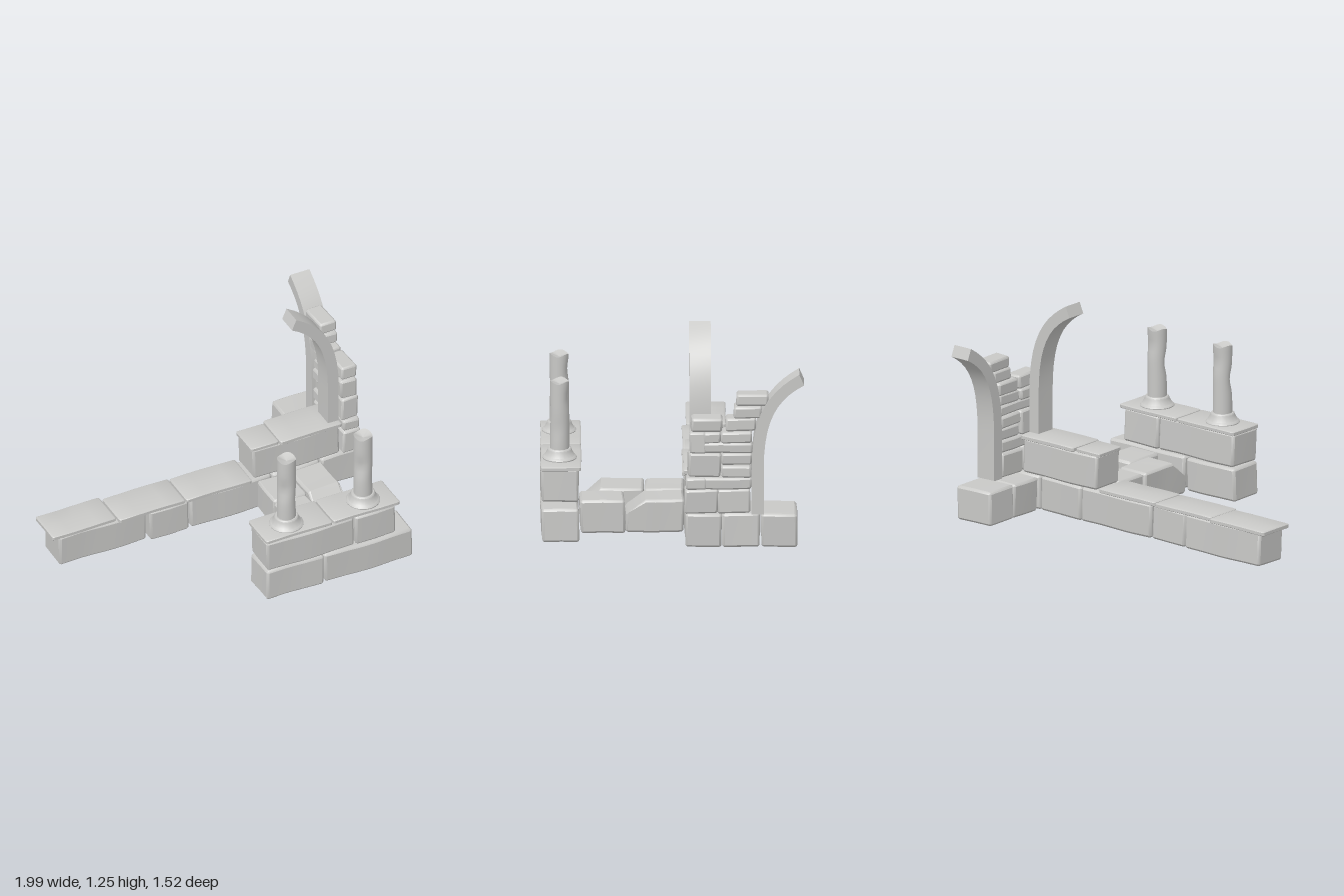
import * as THREE from 'three';
import { mergeVertices, toCreasedNormals } from 'three/addons/utils/BufferGeometryUtils.js';

const stone = new THREE.MeshStandardMaterial({ color: 0xc8c8c6 });
stone.name = 'pale stone';

const AXES = ['x', 'y', 'z'];

// merge the seams, then smooth everything except sharp edges
function finish(geometry, crease = 0.5) {
  geometry.deleteAttribute('uv');
  geometry.deleteAttribute('normal');
  return toCreasedNormals(mergeVertices(geometry, 1e-4), crease);
}

function warp(geometry, rule) {
  const p = geometry.attributes.position, v = new THREE.Vector3();
  for (let i = 0; i < p.count; i++) {
    rule(v.fromBufferAttribute(p, i));
    p.setXYZ(i, v.x, v.y, v.z);
  }
  return geometry;
}

// smooth unevenness based on position
const wave = (a, b, s) => Math.sin(a * 13 + s) * 0.6 + Math.sin(b * 19 + s * 2.3) * 0.4;

// worn block between two corners, with bevelled edges and uneven faces
function block(parent, name, [x0, x1], [y0, y1], [z0, z1], { bevel = 0.014, rough = 0.006, cut } = {}) {
  const size = [x1 - x0, y1 - y0, z1 - z0];
  const seg = size.map((s) => Math.min(8, Math.max(3, Math.round(s / 0.06))));
  const mid = [(x0 + x1) / 2, (y0 + y1) / 2, (z0 + z1) / 2];
  const seed = mid[0] * 31 + mid[1] * 57 + mid[2] * 43;
  const g = warp(new THREE.BoxGeometry(...size, ...seg), (v) => {
    const edge = AXES.map((a, i) => Math.abs(v[a]) > size[i] / 2 - 1e-5);
    const sharp = edge.filter(Boolean).length;
    AXES.forEach((a, i) => {
      const half = size[i] / 2, b = Math.min(bevel, half * 0.4), side = Math.sign(v[a]);
      if (edge[i]) {
        if (sharp > 1) v[a] = side * (half - b * (sharp === 3 ? 0.55 : 0.4));
      } else if (Math.abs(v[a]) > half - size[i] / seg[i] - 1e-5) v[a] = side * (half - b);
    });
    const { x, y, z } = v;
    const r = Math.min(rough, size[1] * 0.1);
    v.x += wave(y, z, seed) * r;
    v.y += wave(x, z, seed + 2) * r * 0.7;
    v.z += wave(x, y, seed + 4) * r;
    // broken-off upper front corner
    if (cut) {
      const over = (v.z - size[2] / 2 + cut) * 1.2 + (v.y - size[1] / 2);
      if (over > 0 && v.y > -size[1] * 0.3) v.y = Math.max(v.y - over, -size[1] * 0.3);
    }
  });
  const mesh = new THREE.Mesh(finish(g), stone);
  mesh.name = name;
  mesh.position.set(...mid);
  parent.add(mesh);
  return mesh;
}

function group(parent, name) {
  const g = new THREE.Group();
  g.name = name;
  parent.add(g);
  return g;
}

// broken vault rib: rises straight, then bends towards -x
function rib(parent, name) {
  const s = new THREE.Shape();
  s.moveTo(0.035, 0);
  s.lineTo(0.035, 0.28);
  s.bezierCurveTo(0.035, 0.61, -0.07, 0.75, -0.24, 0.85);
  s.lineTo(-0.268, 0.785);
  s.bezierCurveTo(-0.11, 0.7, -0.035, 0.57, -0.035, 0.28);
  s.lineTo(-0.035, 0);
  const g = new THREE.ExtrudeGeometry(s, { depth: 0.125, bevelEnabled: false, curveSegments: 10 });
  g.translate(0, 0, -0.0625);
  const mesh = new THREE.Mesh(finish(g), stone);
  mesh.name = name;
  parent.add(mesh);
  return mesh;
}

// broken column on a round moulded foot
function column(parent, x, z) {
  const c = group(parent, 'column');
  c.position.set(x, 0.435, z);
  const profile = [[0, 0], [0.098, 0], [0.1, 0.012], [0.092, 0.022], [0.088, 0.024], [0.072, 0.052],
    [0.07, 0.062], [0.064, 0.068], [0, 0.068]].map((p) => new THREE.Vector2(...p));
  const foot = new THREE.Mesh(finish(new THREE.LatheGeometry(profile, 20), 0.6), stone);
  foot.name = 'columnFoot';
  c.add(foot);

  const h = 0.42;
  const g = new THREE.CylinderGeometry(0.056, 0.056, h, 20, 12);
  warp(g, (v) => {
    const a = Math.atan2(v.z, v.x);
    const inTop = v.y > h / 2 - 1e-4;
    // chipped hollows in the side
    const chip = (angle, y, height, depth) => {
      const d = Math.atan2(Math.sin(a - angle), Math.cos(a - angle));
      return depth * Math.exp(-((d / 0.7) ** 2) - ((v.y - y) / height) ** 2);
    };
    const k = 1 - chip(2.4, 0.0, 0.06, 0.3) - chip(-1.4, 0.11, 0.05, 0.2) - chip(0.3, -0.08, 0.06, 0.1);
    v.x *= k;
    v.z *= k;
    // ragged broken top
    if (inTop) v.y -= Math.hypot(v.x, v.z) < 0.01 ? 0.025 : 0.007 * (1 + Math.sin(a * 3 + 1));
  });
  const shaft = new THREE.Mesh(finish(g, 0.6), stone);
  shaft.name = 'columnShaft';
  shaft.position.y = 0.06 + h / 2;
  c.add(shaft);
}

export function createModel() {
  const model = new THREE.Group();
  model.name = 'ruin';
  const cap = { bevel: 0.01, rough: 0.008 };

  // long back wall with thin cap slabs
  const back = group(model, 'backWall');
  for (const [a, b] of [[-0.95, -0.385], [-0.37, -0.12], [-0.11, 0.42], [0.425, 0.73]])
    block(back, 'wallBlock', [a, b], [0.005, 0.212], a < -0.5 ? [-0.3, -0.095] : [-0.285, -0.075]);
  for (const [a, b, z0, z1] of [[-0.995, -0.583, -0.318, -0.088], [-0.575, -0.15, -0.298, -0.066], [-0.145, 0.28, -0.292, -0.062]])
    block(back, 'wallCap', [a, b], [0.205, 0.234], [z0, z1], cap);
  block(back, 'upperBlock', [0.3, 0.86], [0.212, 0.42], [-0.285, -0.08]);
  block(back, 'upperCap', [0.285, 0.465], [0.412, 0.438], [-0.28, -0.08], cap);
  block(back, 'upperCap', [0.47, 0.868], [0.412, 0.442], [-0.3, -0.066], cap);

  // front wall
  const front = group(model, 'frontWall');
  for (const [a, b] of [[-0.04, 0.33], [0.34, 0.91]])
    block(front, 'wallBlock', [a, b], [0.012, 0.212], [0.54, 0.755]);
  for (const [a, b] of [[-0.035, 0.53], [0.54, 0.8]])
    block(front, 'upperBlock', [a, b], [0.218, 0.42], [0.54, 0.755]);
  for (const [a, b] of [[-0.045, 0.385], [0.39, 0.82]])
    block(front, 'upperCap', [a, b], [0.415, 0.442], [0.522, 0.755], cap);
  for (const x of [0.14, 0.637]) column(front, x, 0.648);

  // two rows of low blocks joining the walls
  const link = group(model, 'linkWall');
  block(link, 'leftBlock', [0.53, 0.735], [0.01, 0.21], [-0.068, 0.268], { cut: 0.08 });
  block(link, 'leftBlock', [0.525, 0.73], [0.004, 0.205], [0.272, 0.53]);
  block(link, 'rightBlock', [0.315, 0.525], [0.01, 0.21], [-0.07, 0.155]);
  block(link, 'rightBlock', [0.31, 0.517], [0.004, 0.21], [0.16, 0.53], { cut: 0.1 });

  // corner base
  const corner = group(model, 'corner');
  for (const [a, b] of [[-0.285, -0.075], [-0.508, -0.292], [-0.722, -0.513]])
    block(corner, 'baseBlock', [0.735, 0.99], [0.008, 0.212], [a, b]);

  // ragged side wall of small stones: front z, back z, bottom, top
  const stones = [
    [-0.07, -0.262, 0.21, 0.357], [-0.266, -0.456, 0.21, 0.355],
    [-0.08, -0.2, 0.358, 0.43], [-0.14, -0.456, 0.358, 0.43],
    [-0.09, -0.278, 0.43, 0.575], [-0.284, -0.458, 0.432, 0.503], [-0.28, -0.458, 0.506, 0.576],
    [-0.103, -0.2, 0.578, 0.706], [-0.17, -0.46, 0.578, 0.641],
    [-0.18, -0.28, 0.638, 0.706], [-0.284, -0.462, 0.642, 0.71],
    [-0.105, -0.285, 0.706, 0.788], [-0.315, -0.49, 0.712, 0.79],
    [-0.355, -0.515, 0.79, 0.862], [-0.375, -0.56, 0.866, 0.936],
  ];
  stones.forEach(([z1, z0, y0, y1], i) =>
    block(corner, 'smallStone', [0.874 + (i % 3) * 0.004, 0.988 - (i % 2) * 0.005], [y0, y1], [z0, z1], { bevel: 0.012, rough: 0.008 }));

  // vault ribs leaning away from the corner
  rib(corner, 'sideRib').position.set(0.827, 0.405, -0.163);
  const backRib = rib(corner, 'backRib');
  backRib.rotation.y = -Math.PI / 2;
  backRib.position.set(0.933, 0.212, -0.495);
  return model;
}
